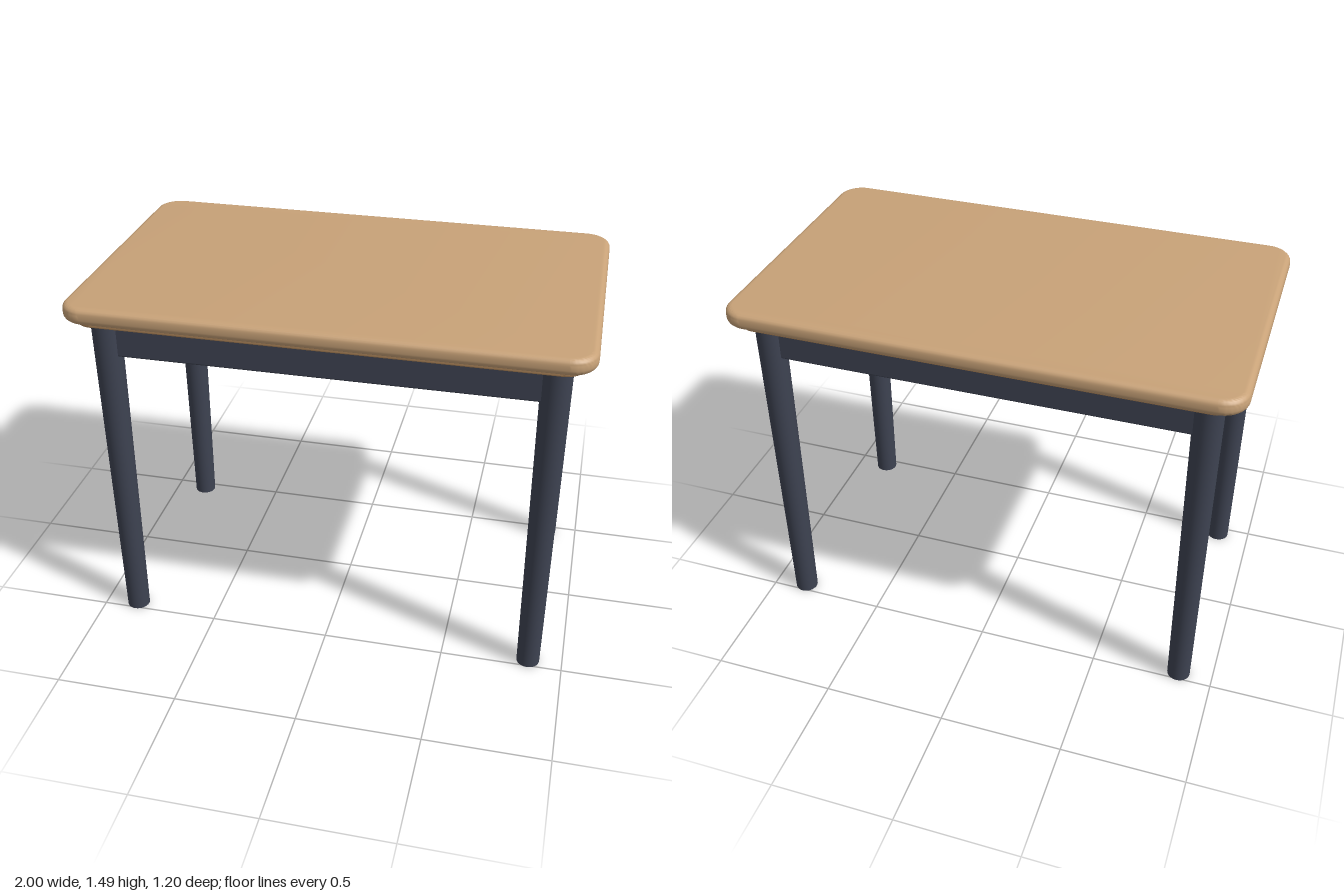
import * as THREE from 'three';
import { toCreasedNormals } from 'three/addons/utils/BufferGeometryUtils.js';
import { RoundedBoxGeometry } from 'three/addons/geometries/RoundedBoxGeometry.js';

const wood = new THREE.MeshStandardMaterial({ name: 'wood', color: 0xc8a278 });
const darkWood = new THREE.MeshStandardMaterial({ name: 'dark wood', color: 0xb48a5e });
const slate = new THREE.MeshStandardMaterial({ name: 'slate paint', color: 0x3e4352 });

// Horizontal slab with rounded corners and softened edges, its underside at y = 0
function slab(width, depth, height, corner, bevel) {
  const x = width / 2 - bevel, z = depth / 2 - bevel, r = corner - bevel;
  const shape = new THREE.Shape();
  shape.absarc(x - r, z - r, r, 0, Math.PI / 2);
  shape.absarc(-x + r, z - r, r, Math.PI / 2, Math.PI);
  shape.absarc(-x + r, -z + r, r, Math.PI, Math.PI * 1.5);
  shape.absarc(x - r, -z + r, r, Math.PI * 1.5, Math.PI * 2);
  shape.closePath();
  const geometry = new THREE.ExtrudeGeometry(shape, {
    depth: height - 2 * bevel, bevelEnabled: true, bevelSize: bevel,
    bevelThickness: bevel, bevelSegments: 5, curveSegments: 10,
  });
  geometry.translate(0, 0, bevel).rotateX(-Math.PI / 2);
  return toCreasedNormals(geometry, 0.6);
}

export function createModel() {
  const table = new THREE.Group();
  table.name = 'table';

  const add = (name, geometry, material, x, y, z) => {
    const mesh = new THREE.Mesh(geometry, material);
    mesh.name = name;
    mesh.position.set(x, y, z);
    table.add(mesh);
  };

  // Top and the thinner slab beneath it
  add('tabletop', slab(2, 1.2, 0.066, 0.1, 0.025), wood, 0, 1.419, 0);
  add('underTop', slab(1.92, 1.12, 0.024, 0.08, 0.006), darkWood, 0, 1.396, 0);

  // Tapered round legs
  const legHeight = 1.383, legX = 0.86, legZ = 0.462;
  const leg = new THREE.CylinderGeometry(0.057, 0.047, legHeight, 32);
  for (const sx of [-1, 1]) {
    for (const sz of [-1, 1]) {
      const name = (sz > 0 ? 'front' : 'back') + (sx > 0 ? 'Left' : 'Right') + 'Leg';
      add(name, leg, slate, sx * legX, legHeight / 2, sz * legZ);
    }
  }

  // Apron rails between the legs
  const railHeight = 0.137, railY = legHeight - railHeight / 2;
  const longRail = new RoundedBoxGeometry(legX * 2, railHeight, 0.056, 3, 0.008);
  const shortRail = new RoundedBoxGeometry(0.056, railHeight, legZ * 2, 3, 0.008);
  for (const s of [-1, 1]) {
    add(s > 0 ? 'frontRail' : 'backRail', longRail, slate, 0, railY, s * legZ);
    add(s > 0 ? 'leftRail' : 'rightRail', shortRail, slate, s * legX, railY, 0);
  }
  return table;
}
